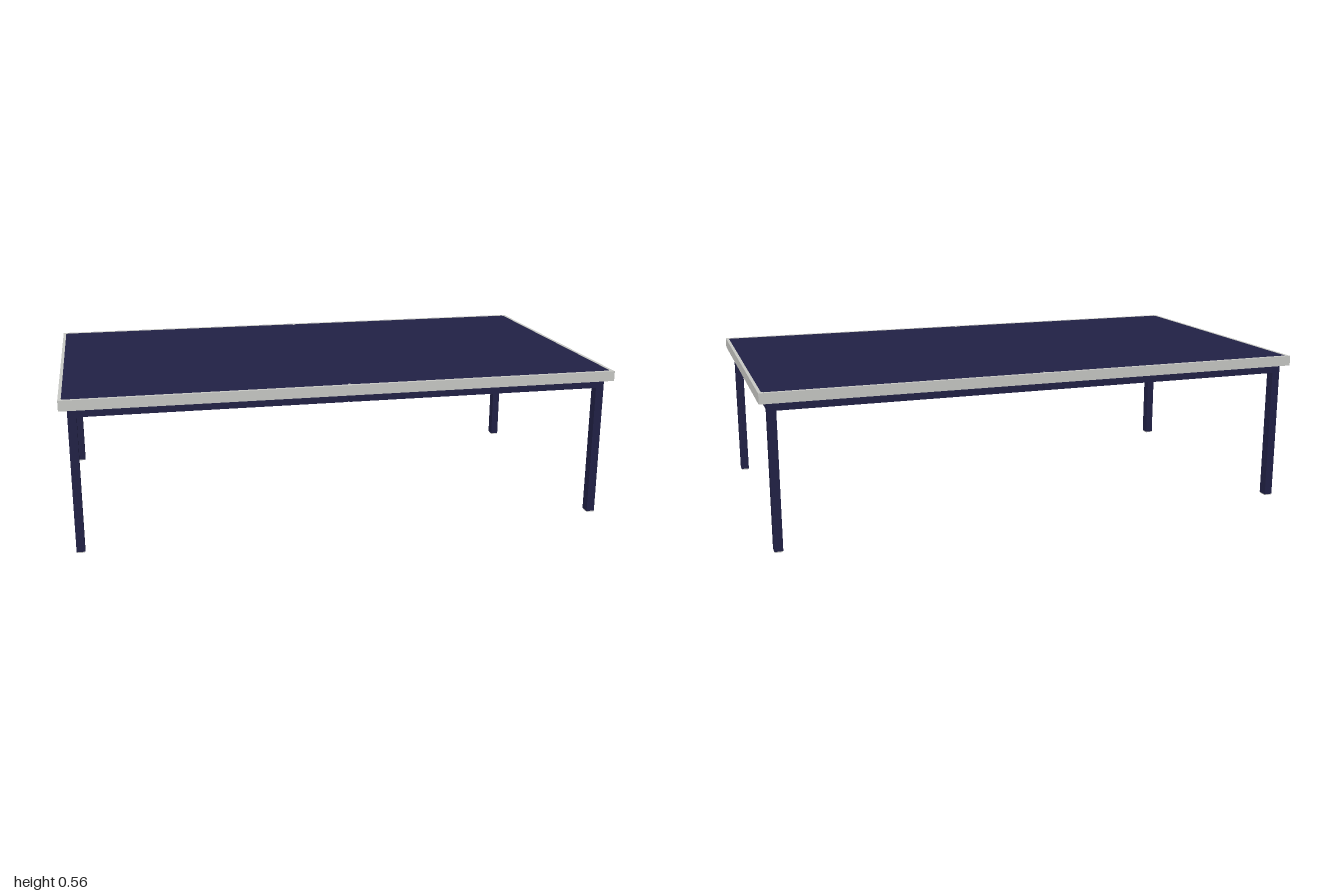
import * as THREE from 'three';

export function createModel() {
  const table = new THREE.Group();
  table.name = 'table';
  const navy = new THREE.MeshStandardMaterial({ color: 0x212146 });
  navy.name = 'navy';
  const grey = new THREE.MeshStandardMaterial({ color: 0xc9cac6 });
  grey.name = 'lightGrey';

  const top = 0.56, under = 0.523, apronLow = 0.493;
  const halfX = 1, halfZ = 0.555;

  const add = (name, geometry, material, x = 0, y = 0, z = 0) => {
    const mesh = new THREE.Mesh(geometry, material);
    mesh.name = name;
    mesh.position.set(x, y, z);
    table.add(mesh);
  };
  const box = (name, w, h, d, material, x, y, z) =>
    add(name, new THREE.BoxGeometry(w, h, d), material, x, y, z);
  // Flat outline lying in the ground plane, raised upwards
  const slab = (shape, height) =>
    new THREE.ExtrudeGeometry(shape, { depth: height, bevelEnabled: false, curveSegments: 4 })
      .rotateX(-Math.PI / 2);

  // Panel outline: clipped corners and a small notch in the middle of each long edge
  const px = 0.989, pz = 0.541, c = 0.007, n = 0.008, nd = 0.014;
  const half = [[px, -pz + c], [px, pz - c], [px - c, pz], [n, pz], [0, pz - nd], [-n, pz], [-px + c, pz]];
  const outline = [...half, ...half.map(([x, z]) => [-x, -z])].map(([x, z]) => new THREE.Vector2(x, z));

  // Table top and its surrounding edge frame
  add('topPanel', slab(new THREE.Shape(outline), top - under - 0.003), navy, 0, under + 0.002, 0);
  const rim = new THREE.Shape([
    new THREE.Vector2(-halfX, -halfZ), new THREE.Vector2(halfX, -halfZ),
    new THREE.Vector2(halfX, halfZ), new THREE.Vector2(-halfX, halfZ)]);
  rim.holes.push(new THREE.Path(outline));
  add('edgeFrame', slab(rim, top - under), grey, 0, under, 0);

  // Legs with foot caps, and aprons between them
  const legX = 0.957, legZ = 0.513, legW = 0.03, legD = 0.036, gap = 0.002;
  const apronH = under - apronLow + 0.002, apronY = apronLow + apronH / 2;
  for (const sx of [-1, 1]) {
    for (const sz of [-1, 1]) {
      box('leg', legW, under - 0.002, legD, navy, sx * legX, (under + 0.006) / 2, sz * legZ);
      box('footCap', legW - 0.002, 0.004, legD - 0.002, grey, sx * legX, 0.002, sz * legZ);
      // Long apron in two halves that meet at a narrow joint
      const length = legX - legW / 2 - gap;
      box('longApron', length, apronH, legD, navy, sx * (gap + length / 2), apronY, sz * legZ);
    }
    box('shortApron', legW, apronH, 2 * legZ - legD, navy, sx * legX, apronY, 0);
  }
  return table;
}
